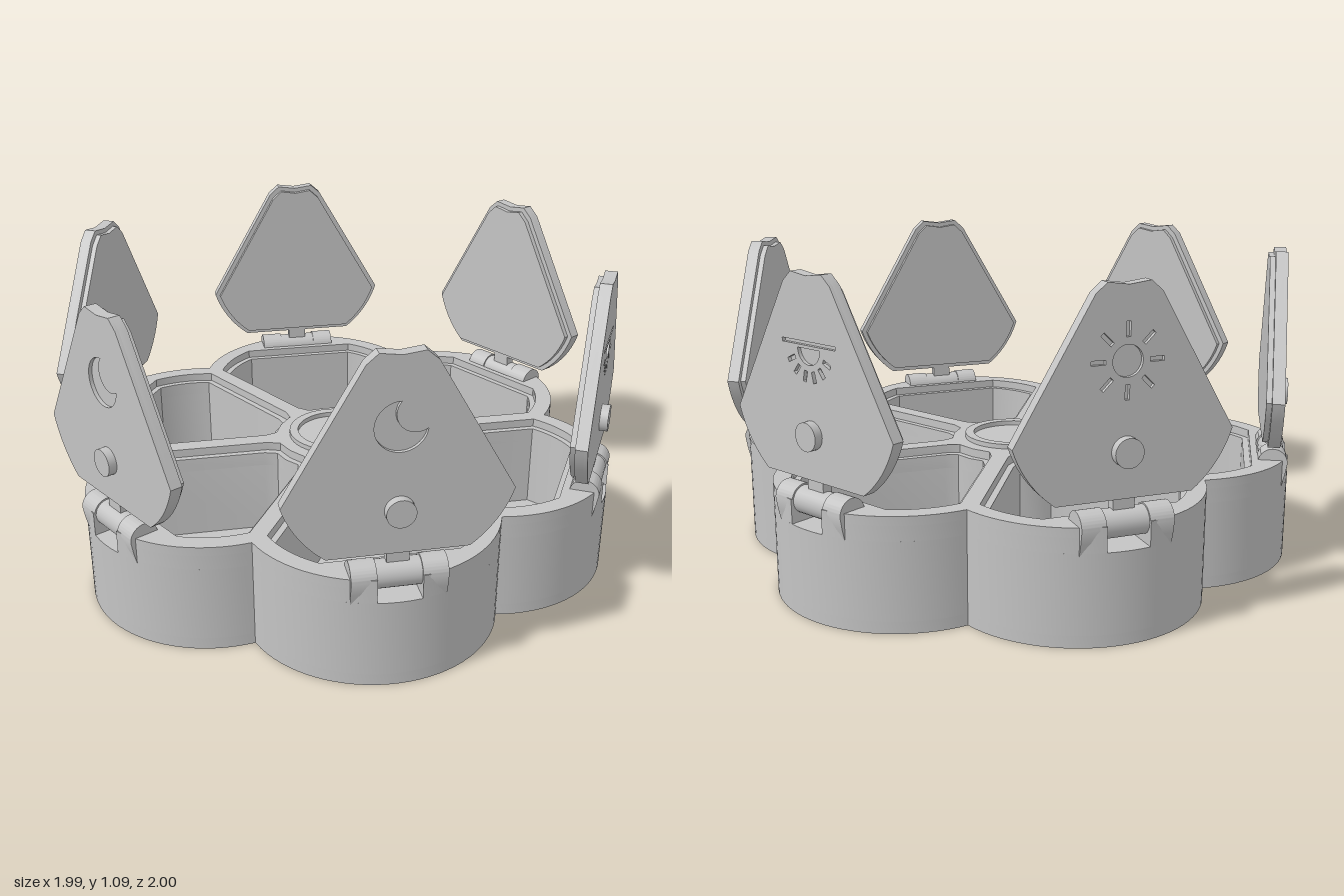
import * as THREE from 'three';
import { toCreasedNormals } from 'three/addons/utils/BufferGeometryUtils.js';

const PETAL_C = 0.563, PETAL_R = 0.432;      // petal circle centre distance and radius
const HINGE_Y = 0.37, HINGE_Z = 0.935;
const V = (x, y) => new THREE.Vector2(x, y);

// Closed outline of one compartment: x across, y outward from the centre
function compartmentPoints(inset) {
  const r = 0.372 - inset, d = 0.03 + inset, clip = 0.862 - inset;
  const h = PETAL_C / 2 - d, t = Math.sqrt(r * r - h * h);
  const a0 = Math.atan2(h * 0.866 + t * 0.5, -h * 0.5 + t * 0.866);
  const a1 = Math.acos((clip - PETAL_C) / r);
  const half = [V(0, 0.222 + inset), V(0.07 - inset * 0.5, 0.213 + inset)];
  const shoulder = 0.245 + inset;
  half.push(V((shoulder * 0.5 - d) / 0.866, shoulder));
  for (let i = 0; i <= 10; i++) {
    const a = a0 + (a1 - a0) * i / 10;
    half.push(V(r * Math.sin(a), PETAL_C + r * Math.cos(a)));
  }
  const mirrored = half.slice(1).reverse().map(p => V(-p.x, p.y));
  return [...half, ...mirrored];
}

// Six-petal outline, optionally notched for the hinges
function flowerPoints(notched) {
  const p = Math.atan2(0.4075, 0.706 - PETAL_C), q = Math.asin(0.07 / PETAL_R);
  const local = [];
  const arc = (from, to, n) => {
    for (let i = 0; i <= n; i++) {
      const a = from + (to - from) * i / n;
      local.push(V(PETAL_C + PETAL_R * Math.cos(a), PETAL_R * Math.sin(a)));
    }
  };
  if (notched) {
    arc(-p, -q, 14);
    local.push(V(0.885, -0.07), V(0.885, 0.07));
    arc(q, p, 14);
  } else arc(-p, p, 32);
  local.pop();
  const pts = [];
  for (let k = 0; k < 6; k++)
    for (const v of local) pts.push(v.clone().rotateAround(V(0, 0), k * Math.PI / 3));
  return pts;
}

function extrude(shape, depth, z = 0) {
  const g = new THREE.ExtrudeGeometry(shape, { depth, bevelEnabled: false, curveSegments: 24 });
  g.translate(0, 0, z);
  return toCreasedNormals(g, 0.35);
}

// One horizontal slice of the body
function bodyLayer(y0, y1, inset, notched) {
  const shape = new THREE.Shape(flowerPoints(notched));
  if (inset !== null) for (let k = 0; k < 6; k++) {
    const angle = Math.PI / 6 + k * Math.PI / 3;
    const pts = compartmentPoints(inset).map(v => v.rotateAround(V(0, 0), angle));
    shape.holes.push(new THREE.Path(pts));
  }
  return extrude(shape, y1 - y0, y0).rotateX(-Math.PI / 2);
}

// Engraved symbols, as lists of hole paths
const SYM_Y = 0.86;
function ray(a, r0, r1) {
  const w = 0.007;
  return new THREE.Path([[r0, -w], [r1, -w], [r1, w], [r0, w]].map(
    ([x, y]) => V(x, y).rotateAround(V(0, 0), a).add(V(0, SYM_Y))));
}
function moon() {
  const R = 0.08, s = 0.06, ox = 0.045, oy = 0.04;
  const d = Math.hypot(ox, oy), phi = Math.atan2(oy, ox);
  const a = (R * R - s * s + d * d) / (2 * d), h = Math.sqrt(R * R - a * a);
  const beta = Math.atan2(h, a), gamma = Math.atan2(h, a - d);
  const path = new THREE.Path();
  path.absarc(0, SYM_Y, R, phi + beta, phi - beta + 2 * Math.PI, false);
  path.absarc(ox, SYM_Y + oy, s, phi - gamma, phi + gamma, true);
  return [path];
}
function sun() {
  const holes = [new THREE.Path().absarc(0, SYM_Y, 0.048, 0, Math.PI * 2, false)];
  for (let i = 0; i < 8; i++) holes.push(ray(i * Math.PI / 4, 0.07, 0.115));
  return holes;
}
function halfSun() {
  const holes = [
    new THREE.Path([V(-0.12, 0.87), V(0.12, 0.87), V(0.12, 0.882), V(-0.12, 0.882)]),
    new THREE.Path().absarc(0, SYM_Y, 0.05, Math.PI, Math.PI * 2, false),
  ];
  for (let i = 0; i < 6; i++) holes.push(ray(Math.PI * (1.14 + i * 0.144), 0.07, 0.105));
  return holes;
}

export function createModel() {
  const model = new THREE.Group();
  const grey = new THREE.MeshStandardMaterial({ color: 0xc4c4c4 });
  grey.name = 'grey plastic';
  const add = (parent, name, geometry) => {
    const m = new THREE.Mesh(geometry, grey);
    m.name = name;
    parent.add(m);
    return m;
  };

  // Body: floor, compartment walls, notched walls, stepped rim
  const body = new THREE.Group();
  body.name = 'body';
  model.add(body);
  add(body, 'floor', bodyLayer(0, 0.04, null, false));
  add(body, 'walls', bodyLayer(0.04, 0.3, 0.022, false));
  add(body, 'notchedWalls', bodyLayer(0.3, 0.35, 0.022, true));
  add(body, 'rim', bodyLayer(0.35, 0.38, 0, true));

  // Raised ring at the centre
  const ring = new THREE.Shape().absarc(0, 0, 0.175, 0, Math.PI * 2, false);
  ring.holes.push(new THREE.Path().absarc(0, 0, 0.144, 0, Math.PI * 2, true));
  add(body, 'centreRing', extrude(ring, 0.02, 0.377).rotateX(-Math.PI / 2));

  // Lid outlines, standing upright with the outer face towards +z
  const lidShape = inset => new THREE.Shape(
    compartmentPoints(inset).map(v => V(v.x, HINGE_Y + HINGE_Z - v.y)));
  const lipGeo = extrude(lidShape(0.02), 0.018, 0.893);
  const plateGeo = extrude(lidShape(0.003), 0.029, 0.911);

  // Hinge parts: knuckles with a tail running down the petal wall
  const knuckleShape = new THREE.Shape();
  knuckleShape.absarc(HINGE_Z, HINGE_Y, 0.05, 0, Math.PI, false);
  knuckleShape.lineTo(0.89, 0.32);
  knuckleShape.lineTo(0.968, 0.29);
  knuckleShape.lineTo(0.978, 0.33);
  const knuckleGeo = extrude(knuckleShape, 0.08, -0.04).rotateY(-Math.PI / 2);
  const barrelGeo = new THREE.CylinderGeometry(0.045, 0.045, 0.142, 24).rotateZ(Math.PI / 2);
  const stemGeo = new THREE.BoxGeometry(0.07, 0.1, 0.035);
  const knobGeo = new THREE.CylinderGeometry(0.046, 0.046, 0.03, 32).rotateX(Math.PI / 2);

  const symbols = [moon, halfSun, halfSun, sun, sun, moon];
  symbols.forEach((symbol, k) => {
    const petal = new THREE.Group();
    petal.name = 'petal' + (k + 1);
    petal.rotation.y = Math.PI / 6 + k * Math.PI / 3;
    model.add(petal);

    const lid = new THREE.Group();
    lid.name = 'lid';
    petal.add(lid);
    add(lid, 'lidLip', lipGeo);
    add(lid, 'lidPlate', plateGeo);
    const face = lidShape(0.003);
    face.holes.push(...symbol());
    add(lid, 'engravedFace', extrude(face, 0.012, 0.94));
    add(lid, 'knob', knobGeo).position.set(0, 0.592, 0.965);
    add(lid, 'hingeStem', stemGeo).position.set(0, 0.42, 0.93);

    add(petal, 'hingeBarrel', barrelGeo).position.set(0, HINGE_Y, HINGE_Z);
    for (const side of [-1, 1]) add(petal, 'hingeKnuckle', knuckleGeo).position.x = side * 0.11;
  });
  return model;
}
